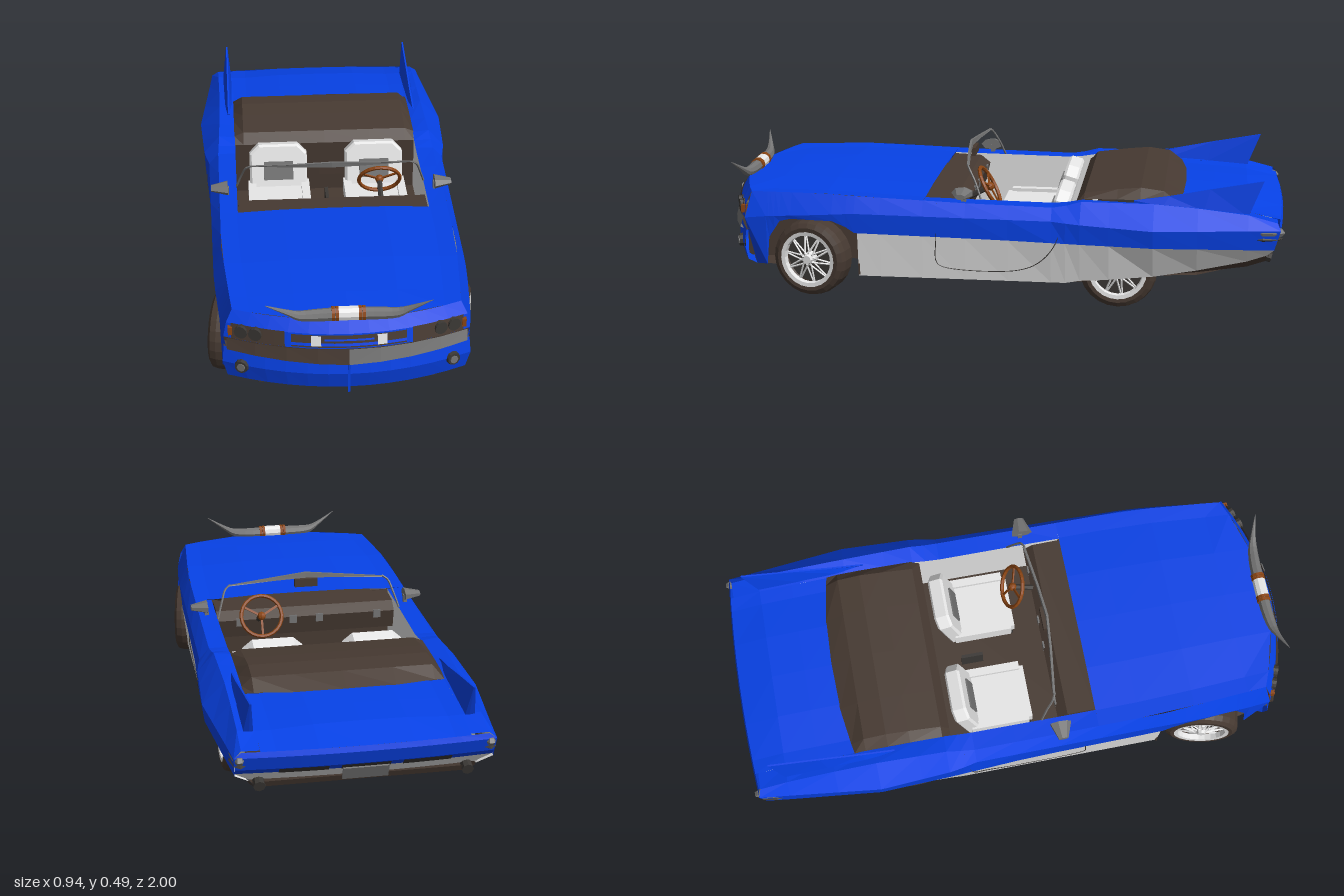
import * as THREE from 'three';

const mat = (name, color) => new THREE.MeshStandardMaterial({ name, color, flatShading: true, side: THREE.DoubleSide });
const blue = mat('blue paint', 0x0744ee), white = mat('pale panel', 0xeeeeee), grey = mat('grey metal', 0x747474),
  dark = mat('dark trim', 0x3b3835), brown = mat('brown cloth and rubber', 0x473a32), wood = mat('tan wood', 0x8c4614);

// Curves along the car: [z, value] from front to back
const curves = {
  lowX: [[.88, .39], [.48, .41], [-.4, .42], [-.97, .37]],
  lowY: [[.48, .09], [-.25, .095], [-.3, .105], [-.6, .13], [-.97, .205]],
  beltX: [[.88, .40], [.6, .425], [0, .437], [-.3, .455], [-.55, .465], [-.97, .42]],
  beltY: [[.88, .12], [.81, .12], [.8, .22], [.76, .28], [.72, .29], [.57, .29], [.52, .27], [.49, .25], [-.4, .245], [-.97, .24]],
  shoulderX: [[.88, .405], [.6, .428], [-.2, .44], [-.28, .457], [-.55, .472], [-.97, .425]],
  shoulderY: [[.88, .29], [.5, .32], [-.2, .32], [-.55, .305], [-.97, .31]],
  topX: [[.88, .37], [.5, .40], [-.2, .405], [-.3, .40], [-.6, .395], [-.97, .40]],
  topY: [[.88, .375], [.6, .38], [.1, .365], [-.22, .36], [-.3, .383], [-.6, .382], [-.87, .355], [-.97, .33]],
  innerX: [[.88, .33], [.2, .34], [-.97, .34]],
  innerY: [[.88, .375], [.25, .365], [-.22, .36], [-.3, .375], [-.65, .365], [-.87, .35], [-.97, .328]],
};
function at(name, z) {
  const t = curves[name];
  if (z >= t[0][0]) return t[0][1];
  for (let i = 1; i < t.length; i++) if (z >= t[i][0]) {
    const [a, va] = t[i - 1], [b, vb] = t[i];
    return va + (vb - va) * (z - a) / (b - a);
  }
  return t[t.length - 1][1];
}
// Point on a body edge; the lower edges end further forward at the tail
const tailSweep = { low: .035, belt: .01, shoulder: -.01 };
const edge = (name, z) => [at(name + 'X', z), at(name + 'Y', z), z + (z < -.9 ? tailSweep[name] || 0 : 0)];

// Surface through rows of points
function loft(rows) {
  const n = rows[0].length, idx = [];
  for (let i = 0; i < rows.length - 1; i++) for (let j = 0; j < n - 1; j++) {
    const a = i * n + j;
    idx.push(a, a + n, a + 1, a + 1, a + n, a + n + 1);
  }
  const g = new THREE.BufferGeometry();
  g.setAttribute('position', new THREE.Float32BufferAttribute(rows.flat(2), 3));
  g.setIndex(idx);
  g.computeVertexNormals();
  return g;
}
// Band across the curved nose or tail: profile of [z, y, halfWidth]
const band = (profile, ua, ub, n, curve) => loft(profile.map(([z, y, h = 1]) =>
  Array.from({ length: n + 1 }, (_, i) => {
    const x = (ua + (ub - ua) * i / n) * h;
    return [x, y, z - curve * x * x];
  })));
const tube = (pts, r, n = 16, sides = 6) =>
  new THREE.TubeGeometry(new THREE.CatmullRomCurve3(pts.map(p => new THREE.Vector3(...p))), n, r, sides);

export function createModel() {
  const car = new THREE.Group();
  car.name = 'convertible';
  const add = (name, geo, m, x = 0, y = 0, z = 0, parent = car) => {
    const mesh = new THREE.Mesh(geo, m);
    mesh.name = name;
    mesh.position.set(x, y, z);
    parent.add(mesh);
    return mesh;
  };
  const box = (name, w, h, d, m, x, y, z, parent) => add(name, new THREE.BoxGeometry(w, h, d), m, x, y, z, parent);
  const NOSE = .6, TAIL = -.1;

  // Nose, grille and lamps
  const low = [[.94, .11, .37], [.975, .13, .39], [.99, .19, .405], [.98, .245, .40]];
  const high = [[.985, .285, .40], [.975, .335, .39], [.95, .375, .37]];
  add('frontBumper', band(low, -1, 1, 12, NOSE), blue);
  add('noseTop', band(high, -1, 1, 12, NOSE), blue);
  add('grilleBack', band([[.98, .24, .4], [.955, .25, .4], [.955, .28, .4], [.985, .287, .4]], -1, 1, 12, NOSE), brown);
  add('grilleOpening', band([[.989, .292], [.98, .333]], -.185, .185, 8, NOSE), brown);
  add('grilleBar', band([[.99, .298], [.987, .307]], -.185, .185, 8, NOSE), blue);
  add('grilleCrossBar', band([[.987, .316], [.985, .322]], -.08, .08, 4, NOSE), blue);
  for (const s of [1, -1]) {
    add('grilleVane', loft([0, .1, .2, .3, .39].map(x => {
      const drop = .058 - .045 * x, z = 1 - NOSE * x * x;
      return [[s * x, .284, z - .012], [s * x, .284 - drop * .9, z], [s * x, .284 - drop, z - .012]];
    })), s > 0 ? grey : brown);
    add('grilleGap', band([[.9905, .298], [.984, .333]], s * .09, s * .122, 2, NOSE), white);
    add('lampPanel', band([[.99, .289], [.979, .34]], s * .205, s * .375, 5, NOSE), brown);
    for (const x of [.295, .34]) {
      const lamp = add('headlamp', new THREE.CylinderGeometry(.022, .022, .03, 12), dark, s * x, .317, .975 - NOSE * x * x);
      lamp.rotation.set(Math.PI / 2, 0, -s * .35);
    }
    box('indicator', .014, .028, .02, wood, s * .378, .313, .895);
    const fog = add('fogLamp', new THREE.CylinderGeometry(.022, .026, .02, 10), dark, s * .343, .187, .918);
    fog.rotation.set(Math.PI / 2, 0, -s * .38);
    const lens = add('fogLens', new THREE.CylinderGeometry(.014, .014, .006, 8), grey, s * .346, .187, .928);
    lens.rotation.copy(fog.rotation);
  }
  box('noseRidge', .008, .11, .012, blue, 0, .175, .985);

  // Hood and rear deck
  const across = (z, f, crown) => [-1, -.85, -.45, 0, .45, .85, 1].map(u =>
    [u * at(f + 'X', z), at(f + 'Y', z) + crown * (1 - u * u) - (Math.abs(u) === .85 ? .004 : 0), z]);
  const hoodFront = across(.88, 'top', 0).map(([x]) => [x, .375, .95 - NOSE * x * x]);
  add('hood', loft([hoodFront, ...[.8, .6, .4, .25].map(z => across(z, 'top', .006))]), blue);
  const tailEdge = across(-.97, 'inner', 0).map(([x, y]) => [x, y, -.992 + .1 * x * x]);
  add('rearDeck', loft([...[-.62, -.75, -.87].map(z => across(z, 'inner', .008)), tailEdge]), blue);

  // Flanks
  const zs = [.81, .8, .78, .76, .72, .65, .57, .52, .49, .4, .25, .1, -.05, -.2, -.25, -.3, -.4, -.55, -.7, -.87, -.97];
  const noseEnd = [low[0], high[0], high[2]].map(([z, y, h]) => [h, y, z - NOSE * h * h]);
  const sillZ = zs.filter(z => z <= .25), lowZ = [.48, ...zs.filter(z => z <= .4)], rearZ = zs.filter(z => z <= -.55);
  for (const s of [1, -1]) {
    const side = new THREE.Group();
    side.name = s > 0 ? 'leftSide' : 'rightSide';
    side.scale.x = s;
    car.add(side);
    const put = (name, geo, m, x, y, z) => add(name, geo, m, x, y, z, side);
    put('upperFlank', loft([noseEnd, ...zs.map(z => [edge('belt', z), edge('shoulder', z), edge('top', z)])]), blue);
    put('lowerFlank', loft(lowZ.map(z => [edge('low', z), edge('belt', z)])), white);
    put('rearValance', loft(rearZ.map((z, i) => {
      const [x, y, ze] = edge('low', z);
      return [[x, y, ze], [x - .02, y - Math.min(i, 2) * .012, ze]];
    })), brown);
    put('sill', loft(sillZ.map(z => [edge('top', z), edge('inner', z)])), blue);
    put('doorLining', loft(sillZ.filter(z => z >= -.3).map(z => [edge('inner', z), [.345, .13, z]])), white);
    put('archWall', new THREE.BoxGeometry(.13, .18, .006), brown, .35, .185, .478);

    // Door seam
    const seam = [[.2, .362], [.2, .25], [.2, .15], [.17, .135], [-.08, .135], [-.16, .17], [-.22, .25], [-.24, .355]].map(([z, y]) => {
      const [a, b] = y < .25 ? ['low', 'belt'] : y < .32 ? ['belt', 'shoulder'] : ['shoulder', 'top'];
      const [ax, ay] = edge(a, z), [bx, by] = edge(b, z);
      return [ax + (bx - ax) * (y - ay) / (by - ay || 1), y, z];
    });
    put('doorSeam', tube(seam, .0015, 40, 4), dark);

    // Tail fin, tail lamp and exhaust
    const fin = [[-.48, .384, -.48, 0], [-.6, .403, -.58, .012], [-.74, .432, -.72, .015], [-.92, .466, -.87, .016]].map(
      ([zt, yt, zb, w]) => { const yb = at('topY', zb) - .012;
        return [[.364 + w, yb, zb], [.364, yt, zt], [.358, yt, zt], [.362 - w, yb, zb]]; });
    fin.push(Array(4).fill([.36, .35, -.875]));
    put('tailFin', loft(fin), blue);
    const lampGeo = new THREE.SphereGeometry(1, 10, 6);
    lampGeo.scale(.026, .024, .08);
    put('tailLamp', lampGeo, grey, .406, .3, -.918);
    const trim = new THREE.SphereGeometry(1, 8, 4);
    trim.scale(.03, .012, .07);
    put('tailLampTrim', trim, dark, .404, .278, -.92);
    const pipe = put('exhaust', new THREE.CylinderGeometry(.017, .02, .09, 8), dark, .34, .205, -.91);
    pipe.rotation.x = 1.3;
    const mirror = new THREE.CylinderGeometry(.01, .022, .06, 7);
    mirror.rotateZ(-Math.PI / 2);
    mirror.scale(1, 1, 1.8);
    put('sideMirror', mirror, grey, .402, .393, .115);
    put('mirrorStem', new THREE.BoxGeometry(.014, .035, .016), grey, .375, .375, .11);
  }

  // Tail panel
  add('tailPanel', band([[-.992, .328, .40], [-.998, .31, .425], [-.982, .262, .42], [-.962, .24, .42]], -1, 1, 8, TAIL), blue);
  for (const x of [-.2, 0, .2]) add('tailSlot', band([[-.986, .262], [-.967, .24]], x - .08, x + .08, 3, TAIL), dark);
  add('tailLower', band([[-.962, .24, .42], [-.935, .205, .37]], -1, 1, 8, TAIL), white);
  box('numberPlate', .15, .05, .006, grey, 0, .222, -.965).rotation.x = -.4;

  // Underbody
  const underZ = [.48, -.25, -.6, -.7, -.97];
  add('underbody', loft(underZ.map(z => {
    const [x, y, ze] = edge('low', z), rear = z < -.6;
    return [-1, 0, 1].map(u => [u * (x - (rear ? .02 : 0)), y + (rear ? -.022 : u ? .002 : .012), ze]);
  })), brown);
  add('rearApron', band([[-.945, .205, .365], [-.935, .183, .35]], -1, 1, 6, 0), brown);
  box('engineTray', .58, .22, .64, brown, 0, .225, .59);
  add('noseTray', band([[.94, .112, .37], [.86, .115, .39]], -1, 1, 8, NOSE), brown);
  box('tunnel', .07, .012, .7, brown, 0, .1, .08);
  const housing = add('axleHousing', new THREE.CylinderGeometry(.085, .05, .03, 4, 1, false, Math.PI / 4), brown, .01, .09, -.25);
  housing.scale.z = .6;
  for (const z of [.35, .1, -.15]) for (const x of [-.2, .2])
    add('drainCover', new THREE.CylinderGeometry(.035, .035, .004, 12), dark, x, .098, z);

  // Cabin
  box('cabinFloor', .69, .02, .58, brown, 0, .135, -.03);
  box('gearLever', .012, .07, .08, dark, 0, .18, -.14);
  box('firewall', .68, .22, .01, brown, 0, .25, .25);
  const dashShape = new THREE.Shape([[-.25, .362], [-.15, .358], [-.115, .33], [-.13, .26], [-.25, .24]].map(p => new THREE.Vector2(...p)));
  const dash = add('dashboard', new THREE.ExtrudeGeometry(dashShape, { depth: .67, bevelEnabled: false }), brown, -.335);
  dash.rotation.y = Math.PI / 2;
  for (const x of [-.27, -.05, .05, .25]) box('dashVent', .028, .03, .006, grey, x, .32, .118);

  // Seats
  const pad = (w, h, d) => {
    const r = .03, sh = new THREE.Shape();
    sh.moveTo(-w / 2, 0).lineTo(w / 2, 0).lineTo(w / 2, h - r).lineTo(w / 2 - r, h).lineTo(r - w / 2, h).lineTo(-w / 2, h - r);
    return new THREE.ExtrudeGeometry(sh, { depth: d, bevelSize: .008, bevelThickness: .008, bevelSegments: 1 });
  };
  for (const s of [1, -1]) {
    const seat = new THREE.Group();
    seat.name = s > 0 ? 'driverSeat' : 'passengerSeat';
    seat.position.set(s * .18, .145, 0);
    car.add(seat);
    box('seatBase', .19, .06, .22, dark, 0, .02, -.08, seat);
    box('cushion', .2, .04, .22, white, 0, .07, -.075, seat);
    for (const x of [-.1, .1]) box('bolster', .03, .055, .21, white, x, .075, -.085, seat);
    add('backrest', pad(.2, .18, .04), white, 0, .05, -.2, seat).rotation.x = -.28;
    add('headrest', pad(.13, .045, .025), white, 0, .17, -.235, seat).rotation.x = -.28;
    box('backrestInset', .11, .07, .006, grey, 0, .15, -.174, seat).rotation.x = -.28;
  }

  // Steering wheel
  const steering = new THREE.Group();
  steering.name = 'steeringWheel';
  steering.position.set(.18, .37, .045);
  steering.rotation.x = .5;
  car.add(steering);
  add('rim', new THREE.TorusGeometry(.075, .007, 6, 24), wood, 0, 0, 0, steering);
  add('hub', new THREE.SphereGeometry(.016, 8, 6), wood, 0, 0, 0, steering);
  for (const a of [0, 2.1, 4.2]) box('spoke', .008, .075, .005, wood, Math.sin(a) * .037, -Math.cos(a) * .037, 0, steering).rotation.z = a;
  add('column', tube([[0, 0, 0], [0, 0, .06], [0, 0, .12]], .01, 2), dark, 0, 0, 0, steering);

  // Windscreen frame and mirror
  for (const s of [1, -1]) {
    add('windscreenPillar', tube([[.34, .365, .055], [.322, .42, .077], [.305, .462, .1], [.285, .475, .11]].map(
      ([x, y, z]) => [s * x, y, z]), .004, 12, 5), grey);
    add('windscreenHeader', loft([[.285, .475, .472, .11], [.12, .487, .475, .13], [0, .497, .476, .14]].map(
      ([x, yt, yb, z]) => [[s * x, yb, z - .008], [s * x, yt, z - .006], [s * x, yt, z + .002], [s * x, yb, z], [s * x, yb, z - .008]])), grey);
  }
  box('rearMirror', .086, .03, .015, brown, 0, .461, .125);

  // Folded roof cover
  const cover = [[-.285, .15, 0], [-.275, .355, 0], [-.305, .378, .014], [-.42, .38, .028], [-.5, .38, .036], [-.58, .376, .03], [-.62, .366, .004]];
  add('roofCover', loft(cover.map(([z, y, b]) => [-1, -.9, -.5, 0, .5, .9, 1].map(u =>
    [u * .342, y + (Math.abs(u) < 1 ? b : 0), z - (z < -.6 ? .035 * (1 - u * u) : 0)]))), brown);

  // Horns on the hood
  for (const s of [1, -1]) {
    const pts = [[0, .388, .935], [.1, .386, .937], [.16, .39, .943], [.195, .408, .95], [.265, .45, .97]];
    const path = new THREE.CatmullRomCurve3(pts.map(([x, y, z]) => new THREE.Vector3(s * x, y, z)));
    const rows = Array.from({ length: 11 }, (_, i) => {
      const p = path.getPoint(i / 10), r = .021 * (1 - (i / 10) ** 2) + .001;
      return Array.from({ length: 9 }, (_, j) => [p.x, p.y + r * Math.cos(j * Math.PI / 4), p.z + r * Math.sin(j * Math.PI / 4)]);
    });
    add('horn', loft(rows), grey);
    for (const x of [.037, .049])
      add('hornStrap', new THREE.CylinderGeometry(.025, .025, .01, 10), wood, s * x, .388, .935).rotation.z = Math.PI / 2;
  }
  add('hornWrap', new THREE.CylinderGeometry(.024, .024, .064, 10), white, 0, .388, .935).rotation.z = Math.PI / 2;

  // Wheels, the front pair steered, the rear pair narrower and inside the skirts
  const tyre = [[.09, .048], [.118, .052], [.134, .042], [.14, .02], [.14, -.035], [.128, -.052], [.085, -.05]].map(p => new THREE.Vector2(...p));
  for (const s of [1, -1]) for (const front of [true, false]) {
    const wheel = new THREE.Group();
    wheel.name = front ? 'frontWheel' : 'rearWheel';
    wheel.position.set(s * (front ? .385 : .357), front ? .148 : .138, front ? .65 : -.43);
    wheel.rotation.y = (front ? -.2 : 0) + (s < 0 ? Math.PI : 0);
    wheel.scale.set(front ? .92 : .84, .97, .97);
    car.add(wheel);
    const spun = (name, geo, m, x) => { add(name, geo, m, x, 0, 0, wheel).rotation.z = -Math.PI / 2; };
    spun('tyre', new THREE.LatheGeometry(tyre, 24), brown, 0);
    spun('wheelBack', new THREE.CylinderGeometry(.095, .095, .01, 20), dark, 0);
    spun('whitewall', new THREE.LatheGeometry([new THREE.Vector2(.088, .03), new THREE.Vector2(.09, .051), new THREE.Vector2(.104, .053)], 24), white, 0);
    spun('hubCap', new THREE.CylinderGeometry(.016, .024, .045, 8), white, .035);
    for (let i = 0; i < 20; i++) {
      const a = i * Math.PI / 10, b = a + (i % 2 ? .45 : -.45);
      add('wireSpoke', tube([[.045, .02 * Math.cos(a), .02 * Math.sin(a)], [.028, .093 * Math.cos(b), .093 * Math.sin(b)]], .0036, 1, 4), white, 0, 0, 0, wheel);
    }
  }
  return car;
}
